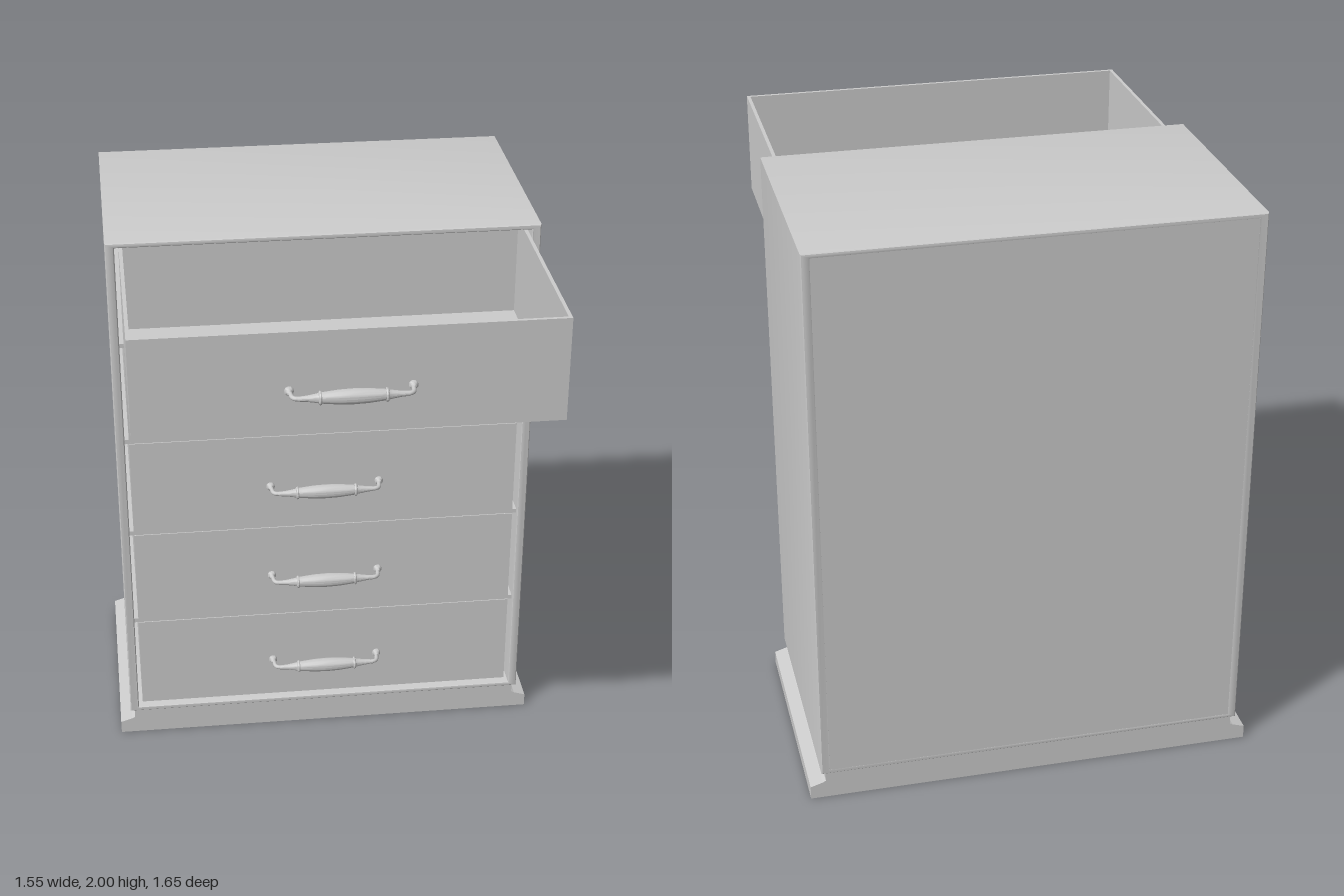
import * as THREE from 'three';
import { toCreasedNormals } from 'three/addons/utils/BufferGeometryUtils.js';

const material = new THREE.MeshStandardMaterial({ color: 0xcccccc });

function add(parent, name, geometry, x = 0, y = 0, z = 0) {
  const mesh = new THREE.Mesh(geometry, material);
  mesh.name = name;
  mesh.position.set(x, y, z);
  parent.add(mesh);
  return mesh;
}

// Box given by its lower and upper corners
function block(parent, name, [x0, y0, z0], [x1, y1, z1]) {
  return add(parent, name, new THREE.BoxGeometry(x1 - x0, y1 - y0, z1 - z0),
    (x0 + x1) / 2, (y0 + y1) / 2, (z0 + z1) / 2);
}

const rectangle = (Type, x, y0, y1) => new Type().moveTo(-x, y0).lineTo(x, y0).lineTo(x, y1).lineTo(-x, y1).closePath();
const lathe = (points, sides = 20) => toCreasedNormals(
  new THREE.LatheGeometry(points.map(p => new THREE.Vector2(...p)), sides), 0.6);

// Open-fronted carcass with softened edges
function createCarcass() {
  const carcass = new THREE.Group();
  carcass.name = 'carcass';
  const bevel = 0.007;
  const shape = rectangle(THREE.Shape, 0.737 - bevel, 0.1 + bevel, 2 - bevel);
  shape.holes.push(rectangle(THREE.Path, 0.705 + bevel, 0.115 - bevel / 2, 1.985 + bevel / 2));
  const shell = new THREE.ExtrudeGeometry(shape, {
    depth: 0.865 - 2 * bevel, bevelSize: bevel, bevelThickness: bevel, bevelSegments: 3,
  });
  add(carcass, 'shell', toCreasedNormals(shell, 0.5), 0, 0, -0.825 + bevel);
  block(carcass, 'backPanel', [-0.725, 0.11, -0.824], [0.725, 1.99, -0.805]);
  for (let i = 1; i < 5; i++) {
    const y = 0.122 + i * 0.3735;
    block(carcass, 'divider', [-0.706, y - 0.008, -0.81], [0.706, y + 0.008, 0.022]);
  }
  return carcass;
}

// Plinth that flares outwards at the sides only
function createPlinth() {
  const half = [[0.775, 0], [0.775, 0.047], [0.733, 0.06], [0.722, 0.066], [0.722, 0.102]];
  const outline = [...half, ...half.map(([x, y]) => [-x, y]).reverse()];
  const shape = new THREE.Shape(outline.map(p => new THREE.Vector2(...p)));
  return new THREE.ExtrudeGeometry(shape, { depth: 0.845, bevelEnabled: false });
}

// Pull handle: turned grip on a thin bent bar; z = 0 is the drawer front
function createHandle() {
  const handle = new THREE.Group();
  handle.name = 'handle';
  const reach = 0.06;

  const half = [[0, 0.107], [0.017, 0.107], [0.0195, 0.085], [0.0235, 0.045], [0.025, 0]];
  const profile = [...half.map(([r, y]) => [r, -y]), ...half.slice(0, -1).reverse()];
  const grip = add(handle, 'grip', lathe(profile), 0, 0, reach);
  grip.rotation.z = Math.PI / 2;

  for (const side of [-1, 1]) {
    // Ringed collar and tapering neck
    const neck = lathe([[0, 0], [0.021, 0], [0.023, 0.004], [0.021, 0.008], [0.016, 0.01],
      [0.014, 0.02], [0.01, 0.045], [0.0075, 0.075]], 16);
    add(handle, 'neck', neck, side * 0.1, 0, reach).rotation.z = -side * Math.PI / 2;

    // Bent end running back to the drawer front
    const path = new THREE.CurvePath();
    const v = (x, z) => new THREE.Vector3(side * x, 0, z);
    path.add(new THREE.LineCurve3(v(0.16, reach), v(0.176, reach - 0.002)));
    path.add(new THREE.QuadraticBezierCurve3(v(0.176, reach - 0.002), v(0.189, reach - 0.004), v(0.191, reach - 0.02)));
    path.add(new THREE.LineCurve3(v(0.191, reach - 0.02), v(0.195, 0)));
    add(handle, 'post', new THREE.TubeGeometry(path, 20, 0.0075, 12));

    const foot = lathe([[0, 0], [0.015, 0], [0.015, 0.006], [0.01, 0.011], [0.0075, 0.025]], 16);
    add(handle, 'foot', foot, side * 0.195, 0, 0).rotation.x = Math.PI / 2;
  }
  return handle;
}

// Open-topped drawer; its origin is the lower middle of the front face
function createDrawer() {
  const drawer = new THREE.Group();
  drawer.name = 'drawer';
  const w = 0.69, h = 0.356, d = 0.815, t = 0.012;
  block(drawer, 'drawerBottom', [-w, 0, -d], [w, t, 0]);
  block(drawer, 'drawerFront', [-w, t, -t], [w, h, 0]);
  block(drawer, 'drawerBack', [-w, t, -d], [w, h, -d + t]);
  for (const side of [-1, 1]) {
    block(drawer, 'drawerSide', [side * (w - t / 2) - t / 2, t, -d + t], [side * (w - t / 2) + t / 2, h, -t]);
  }
  const handle = createHandle();
  handle.position.y = 0.156;
  drawer.add(handle);
  return drawer;
}

export function createModel() {
  const model = new THREE.Group();
  model.name = 'chestOfDrawers';
  model.add(createCarcass());
  add(model, 'plinth', createPlinth(), 0, 0, -0.815);
  for (let i = 0; i < 5; i++) {
    const drawer = createDrawer();
    // The top drawer is pulled out
    drawer.position.set(0, 0.131 + i * 0.3735, i === 4 ? 0.74 : 0.025);
    model.add(drawer);
  }
  return model;
}
